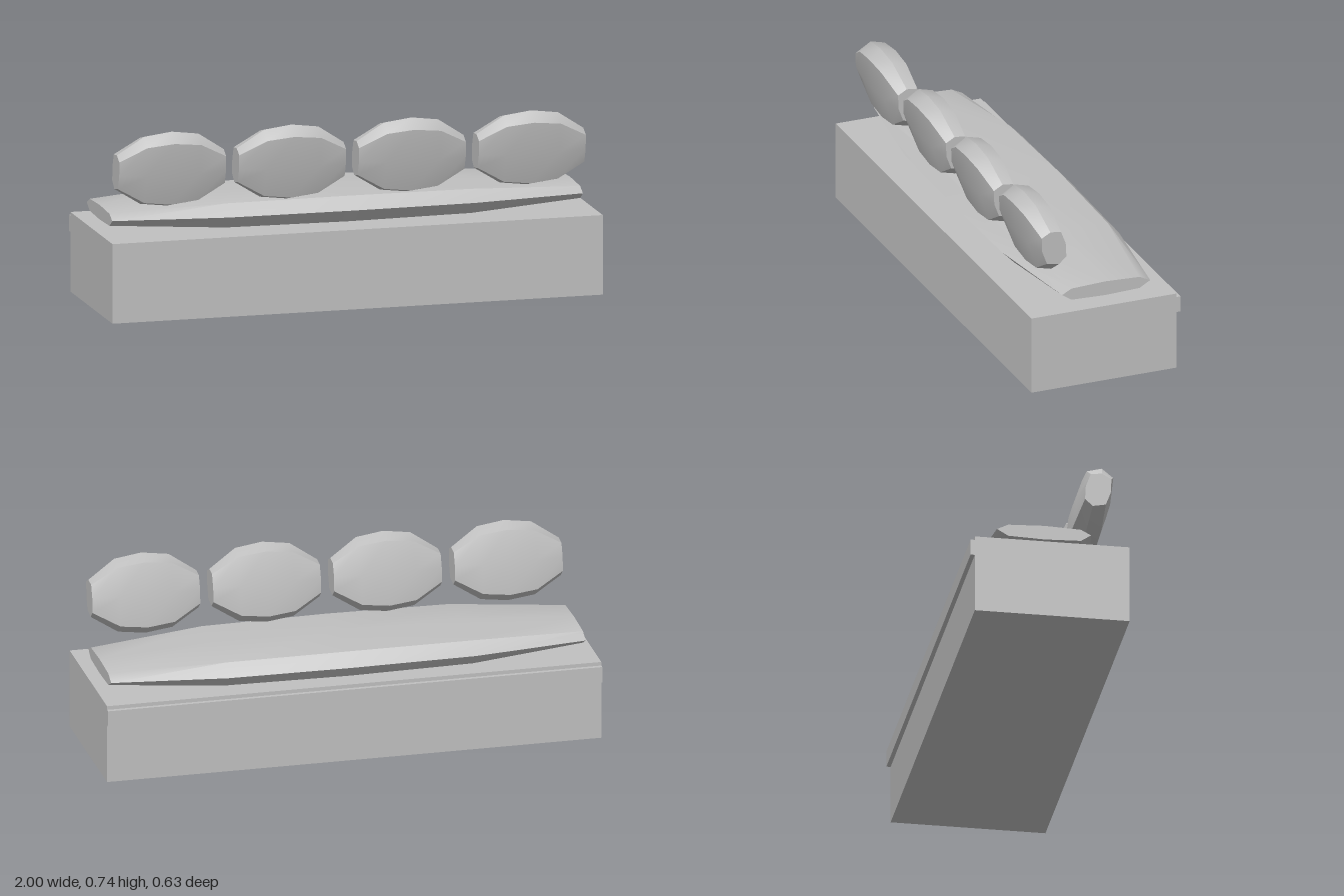
import * as THREE from 'three';
import { toCreasedNormals } from 'three/addons/utils/BufferGeometryUtils.js';

// Cushion lofted along x between eight-sided [z, y] sections.
// stations: [x, t] with t = 0 at the full middle section and t = 1 at the small end.
function cushionGeometry(middle, end, stations) {
  const n = middle.length;
  const positions = [];
  const index = [];
  for (const [x, t] of stations) {
    middle.forEach(([z, y], i) => {
      positions.push(x, y + (end[i][1] - y) * t, z + (end[i][0] - z) * t);
    });
  }
  for (let s = 0; s < stations.length - 1; s++) {
    for (let i = 0; i < n; i++) {
      const j = (i + 1) % n;
      const a = s * n + i, b = s * n + j, c = a + n, d = b + n;
      index.push(a, c, d, a, d, b);
    }
  }
  // flat end caps
  const last = (stations.length - 1) * n;
  for (let i = 1; i < n - 1; i++) {
    index.push(0, i, i + 1, last, last + i + 1, last + i);
  }
  const geometry = new THREE.BufferGeometry();
  geometry.setAttribute('position', new THREE.Float32BufferAttribute(positions, 3));
  geometry.setIndex(index);
  return toCreasedNormals(geometry, 0.52);
}

const stationsFor = (half, inner, t) => [[-half, 1], [-inner, t], [0, 0], [inner, t], [half, 1]];

export function createModel() {
  const group = new THREE.Group();
  const grey = new THREE.MeshStandardMaterial({ color: 0xc0c0c0 });
  grey.name = 'plain grey';

  const add = (name, geometry, x = 0, y = 0, z = 0) => {
    const mesh = new THREE.Mesh(geometry, grey);
    mesh.name = name;
    mesh.position.set(x, y, z);
    group.add(mesh);
  };

  // Solid base with a narrow rail along its back
  add('base', new THREE.BoxGeometry(2, 0.32, 0.617), 0, 0.16, 0.0085);
  add('backRail', new THREE.BoxGeometry(2, 0.065, 0.017), 0, 0.2725, -0.3085);

  // Long seat cushion
  add('seatCushion', cushionGeometry(
    [[0.24, 0.38], [0.19, 0.43], [-0.015, 0.44], [-0.225, 0.43],
      [-0.272, 0.378], [-0.225, 0.327], [-0.015, 0.322], [0.19, 0.327]],
    [[0.17, 0.379], [0.13, 0.4], [-0.015, 0.406], [-0.16, 0.4],
      [-0.205, 0.378], [-0.16, 0.352], [-0.015, 0.347], [0.13, 0.352]],
    stationsFor(0.96, 0.5, 0.11)));

  // Row of four leaning cushions
  const leaning = cushionGeometry(
    [[0.283, 0.7], [0.235, 0.74], [0.172, 0.722], [0.131, 0.6],
      [0.118, 0.468], [0.165, 0.428], [0.23, 0.445], [0.268, 0.57]],
    [[0.252, 0.632], [0.215, 0.653], [0.17, 0.648], [0.15, 0.595],
      [0.147, 0.538], [0.178, 0.51], [0.23, 0.52], [0.25, 0.575]],
    stationsFor(0.218, 0.11, 0.17));
  for (let i = 0; i < 4; i++) {
    add('leaningCushion' + (i + 1), leaning, -0.0025 + (i - 1.5) * 0.489);
  }

  return group;
}
